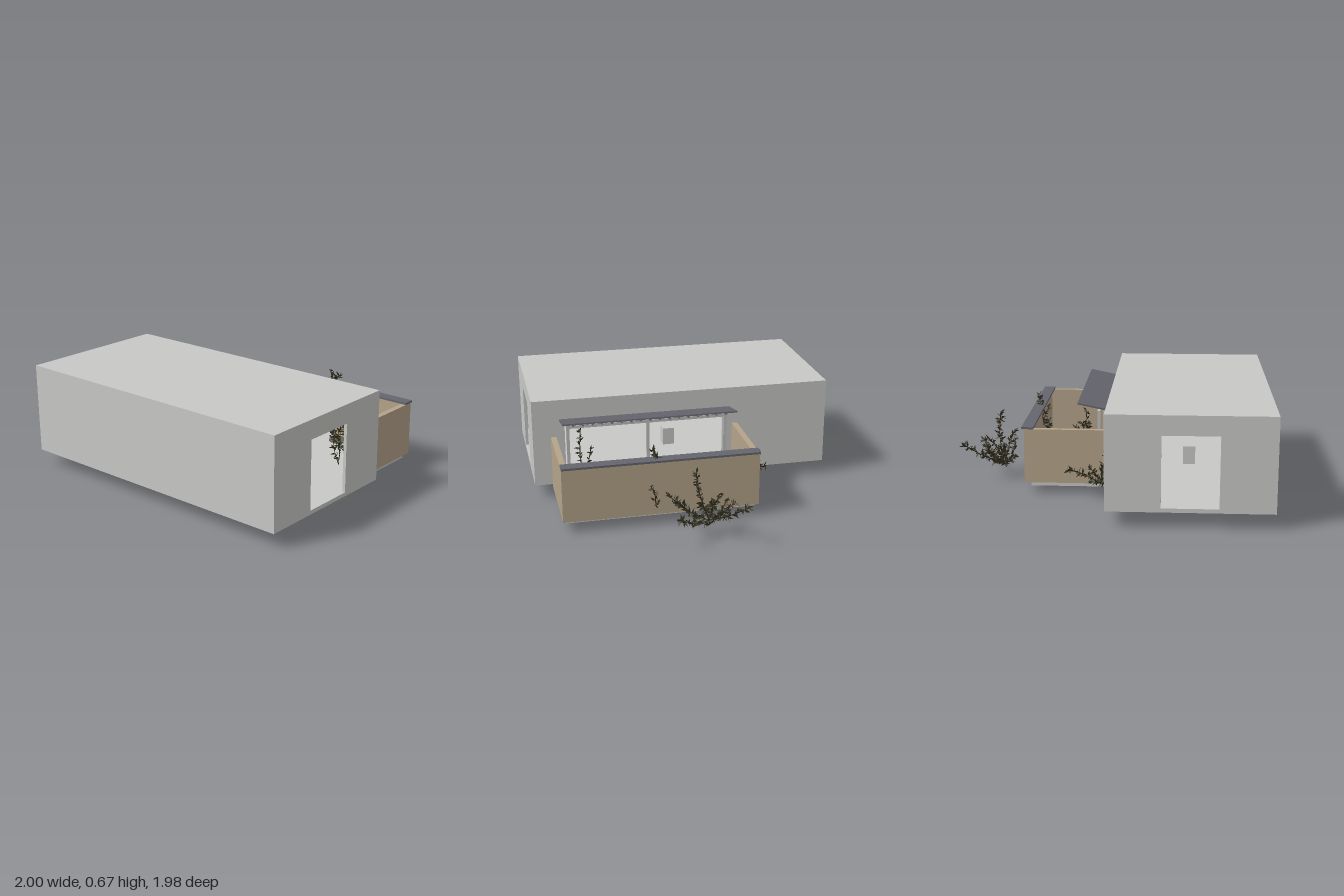
import * as THREE from 'three';
import { mergeGeometries } from 'three/addons/utils/BufferGeometryUtils.js';

const mat = (name, color, side = THREE.FrontSide) => {
  const m = new THREE.MeshStandardMaterial({ color, side });
  m.name = name;
  return m;
};

// Small seeded generator for the foliage
function seeded(seed) {
  let s = seed * 7919 + 17;
  return () => {
    s = (s * 16807) % 2147483647;
    return s / 2147483647;
  };
}

export function createModel() {
  const model = new THREE.Group();
  const concrete = mat('concrete', 0xc8c8c6);
  const tan = mat('tan wall', 0xb5a38a);
  const slate = mat('slate', 0x65666e);
  const metal = mat('pale metal', 0xc0c0c0);
  const olive = mat('olive', 0x666850);
  const leaf = mat('leaf', 0x34321f, THREE.DoubleSide);
  const bark = mat('bark', 0x2c251a);

  const add = (name, geo, material, parent = model) => {
    const m = new THREE.Mesh(geo, material);
    m.name = name;
    parent.add(m);
    return m;
  };
  // Box given by its two extreme corners
  const box = (name, material, x0, x1, y0, y1, z0, z1, parent) => {
    const m = add(name, new THREE.BoxGeometry(x1 - x0, y1 - y0, z1 - z0), material, parent);
    m.position.set((x0 + x1) / 2, (y0 + y1) / 2, (z0 + z1) / 2);
    return m;
  };
  // Upright wall with one rectangular opening
  const rect = (T, a, b, c, d) => {
    const s = new T();
    s.moveTo(a, c).lineTo(b, c).lineTo(b, d).lineTo(a, d).closePath();
    return s;
  };
  const openWall = (name, u0, u1, v0, v1, hole, depth, parent) => {
    const s = rect(THREE.Shape, u0, u1, v0, v1);
    s.holes.push(rect(THREE.Path, ...hole));
    return add(name, new THREE.ExtrudeGeometry(s, { depth, bevelEnabled: false }), concrete, parent);
  };

  // House shell: open at both ends and towards the terrace
  const house = new THREE.Group();
  house.name = 'house';
  model.add(house);
  const t = 0.02, B = 0.095, T = 0.675, Z = 0.988;
  box('floor', concrete, -1, 0, B, 0.12, -Z, Z, house);
  box('roof', concrete, -1, 0, T - t, T, -Z, Z, house);
  box('outerWall', concrete, -1, -1 + t, 0.12, T - t, -Z, Z, house);
  for (const z of [-Z, Z - t])
    openWall('endWall', -1 + t, -t, 0.12, T - t, [-0.67, -0.33, 0.12, 0.555], t, house).position.z = z;
  const side = openWall('terraceWall', -Z, Z, 0.12, T - t, [-0.78, 0.27, 0.12, 0.53], t, house);
  side.rotation.y = Math.PI / 2;
  side.position.x = -t;
  box('pedestal', concrete, -0.54, -0.46, 0.12, 0.24, -0.04, 0.04, house);

  // Terrace: slab, tan parapets and dark coping
  const terrace = new THREE.Group();
  terrace.name = 'terrace';
  model.add(terrace);
  box('slab', concrete, 0, 0.51, 0.05, 0.085, -0.355, 0.855, terrace);
  box('frontParapet', tan, 0, 0.55, 0.075, 0.425, 0.835, 0.872, terrace);
  box('backParapet', tan, 0, 0.55, 0.075, 0.425, -0.372, -0.335, terrace);
  box('sideParapet', tan, 0.51, 0.55, 0.075, 0.425, -0.335, 0.835, terrace);
  box('coping', slate, 0.49, 0.566, 0.425, 0.438, -0.372, 0.872, terrace);

  // Glazing frame along the terrace
  const frame = new THREE.Group();
  frame.name = 'doorFrame';
  model.add(frame);
  for (const z of [-0.265, 0.25, 0.77])
    box('post', metal, 0.07, 0.09, 0.085, 0.525, z - 0.01, z + 0.01, frame);
  box('rail', metal, 0.07, 0.09, 0.508, 0.528, -0.275, 0.78, frame);

  // Canopy sloping up and out, on thin rafters
  const canopy = new THREE.Group();
  canopy.name = 'canopy';
  canopy.position.set(0, 0.538, 0.25);
  canopy.rotation.z = 0.2;
  model.add(canopy);
  box('canopyRoof', slate, 0, 0.218, -0.004, 0.006, -0.565, 0.565, canopy);
  for (let i = 0; i < 17; i++) {
    const z = -0.496 + i * 0.062;
    box('rafter', slate, 0, 0.2, -0.017, -0.009, z - 0.004, z + 0.004, canopy);
    box('bracket', metal, 0.165, 0.172, -0.012, -0.003, z - 0.003, z + 0.003, canopy);
  }

  // Planting patches and the ball
  for (const [x, z, r] of [[0.25, 0.05, 0.09], [0.37, 0.08, 0.07], [0.42, 0.4, 0.065], [0.38, 0.645, 0.075]])
    add('plantingPatch', new THREE.CylinderGeometry(r, r, 0.008, 28), olive).position.set(x, 0.089, z);
  add('ball', new THREE.SphereGeometry(0.07, 28, 18), olive).position.set(0.395, 0.071, 0.595);

  // Plant: curved twigs from a base to each tip, set with narrow leaves
  const blade = new THREE.BufferGeometry();
  blade.setAttribute('position', new THREE.Float32BufferAttribute(
    [0, 0, 0, 0.2, 0.4, 0.06, 0, 1, 0, -0.2, 0.4, 0.06], 3));
  blade.setIndex([0, 1, 2, 0, 2, 3]);
  blade.computeVertexNormals();
  const up = new THREE.Vector3(0, 1, 0);
  function plant(name, seed, base, tips, density = 150) {
    const rnd = seeded(seed), r = () => rnd() - 0.5;
    for (let i = 0; i < 5; i++) rnd();
    const twigs = [], leaves = [];
    const b = new THREE.Vector3(...base);
    for (const tip of tips) {
      const e = new THREE.Vector3(...tip), len = b.distanceTo(e);
      const mid = b.clone().lerp(e, 0.5).add(new THREE.Vector3(r() * 0.05, r() * 0.05, r() * 0.05));
      const curve = new THREE.CatmullRomCurve3([b, mid, e]);
      twigs.push(new THREE.TubeGeometry(curve, 6, 0.0025, 4));
      const n = Math.ceil(len * density);
      for (let i = 0; i < n; i++) {
        const u = 0.1 + 0.9 * (i + rnd()) / n;
        const dir = curve.getTangent(u).multiplyScalar(0.6).add(new THREE.Vector3(r(), r(), r()).normalize()).normalize();
        const q = new THREE.Quaternion().setFromUnitVectors(up, dir)
          .multiply(new THREE.Quaternion().setFromAxisAngle(up, rnd() * 6.28));
        const s = 0.024 + rnd() * 0.022;
        leaves.push(blade.clone().applyMatrix4(
          new THREE.Matrix4().compose(curve.getPoint(u), q, new THREE.Vector3(s, s, s))));
      }
    }
    const g = new THREE.Group();
    g.name = name;
    model.add(g);
    add('twigs', mergeGeometries(twigs), bark, g);
    add('leaves', mergeGeometries(leaves), leaf, g);
  }

  plant('outerShrub', 1, [0.74, 0.09, 0], [
    [0.98, 0.27, -0.19], [0.92, 0.2, 0.23], [0.77, 0.43, 0.09], [0.69, 0.22, 0.19], [0.66, 0.18, -0.13],
    [0.83, 0.24, -0.14], [0.85, 0.26, 0.02], [0.72, 0.25, -0.07], [0.75, 0.2, 0.06], [0.66, 0.15, -0.02],
    [0.79, 0.13, -0.1], [0.82, 0.12, 0.07], [0.7, 0.27, 0.25]]);
  plant('backShrub', 2, [0.06, 0.09, -0.42], [
    [0.26, 0.2, -0.5], [0.02, 0.34, -0.41], [0.02, 0.2, -0.54], [0.13, 0.2, -0.44], [0.12, 0.16, -0.5],
    [0.08, 0.13, -0.39], [0.03, 0.15, -0.45]]);
  plant('terraceShrub', 3, [0.42, 0.09, 0.12], [
    [0.47, 0.32, 0.3], [0.44, 0.25, 0.22], [0.35, 0.25, 0.02], [0.46, 0.3, -0.08], [0.45, 0.2, 0.18],
    [0.4, 0.3, 0.08], [0.43, 0.3, -0.18], [0.3, 0.2, 0.04], [0.48, 0.25, 0.07], [0.41, 0.2, 0.26]]);
  plant('copingSprig', 4, [0.5, 0.3, 0.25], [[0.54, 0.5, 0.31], [0.47, 0.42, 0.33]]);
  plant('wallSprig', 5, [0.56, 0.14, 0.3], [[0.575, 0.28, 0.33], [0.6, 0.2, 0.28]], 90);
  plant('backPot', 6, [0.24, 0.09, -0.2], [
    [0.27, 0.3, -0.24], [0.38, 0.22, -0.11], [0.3, 0.25, -0.13], [0.23, 0.25, -0.16], [0.33, 0.15, -0.2]], 110);
  plant('frontPot', 7, [0.23, 0.09, 0.6], [
    [0.23, 0.28, 0.45], [0.25, 0.3, 0.74], [0.33, 0.2, 0.63], [0.27, 0.25, 0.55], [0.22, 0.2, 0.65]], 110);
  plant('middlePot', 8, [0.42, 0.09, 0.4], [[0.35, 0.2, 0.37], [0.43, 0.22, 0.35], [0.43, 0.2, 0.45]], 110);
  plant('doorSprig', 9, [0.06, 0.09, 0.66], [[0.03, 0.5, 0.68], [0.05, 0.35, 0.62]], 80);
  plant('floorSprig', 10, [-0.14, 0.12, -0.75], [[-0.13, 0.085, -0.74]], 100);

  return model;
}
